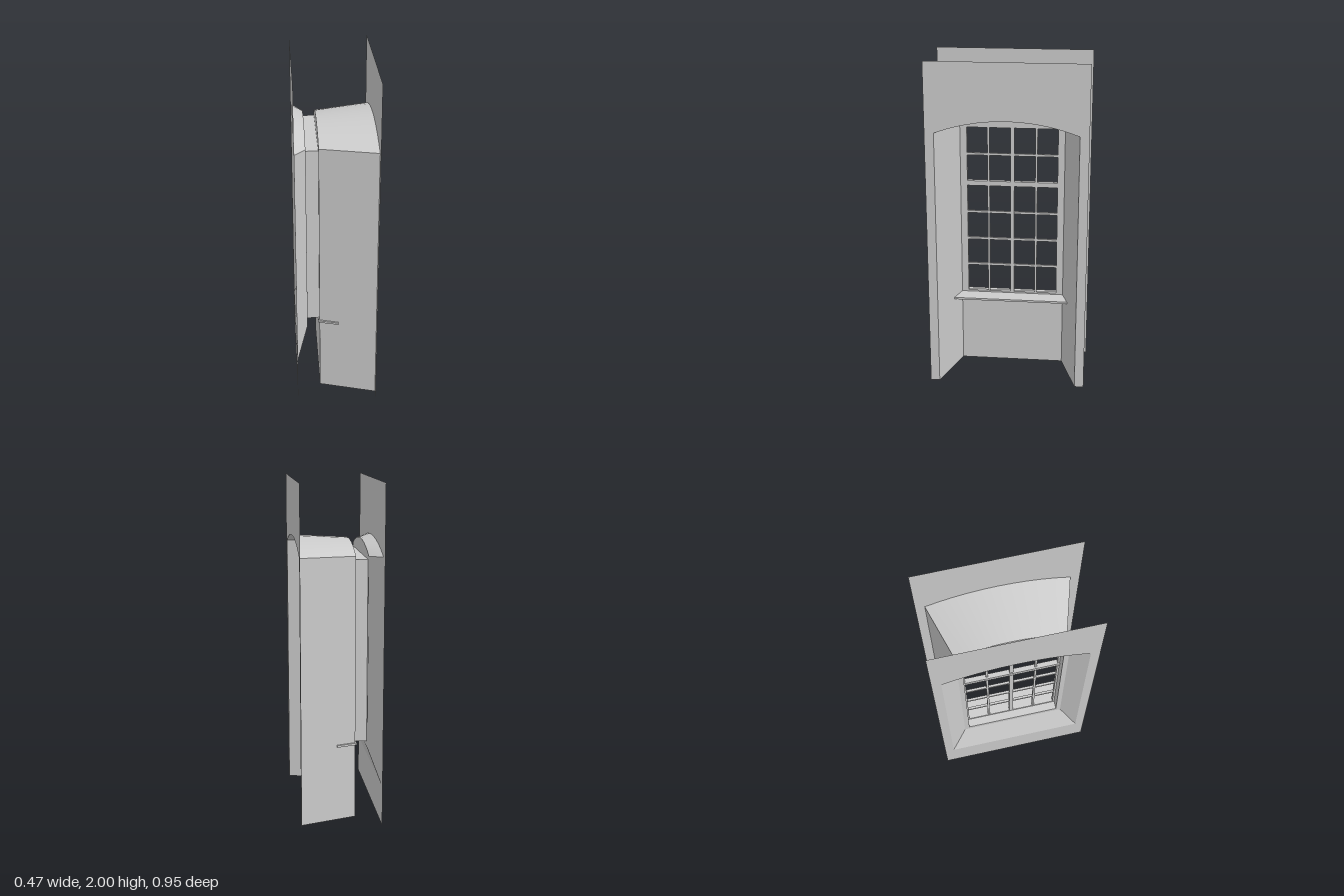
import * as THREE from 'three';
import { toCreasedNormals } from 'three/addons/utils/BufferGeometryUtils.js';

const mat = new THREE.MeshStandardMaterial({ color: 0xcccccc, side: THREE.DoubleSide });

// Arched outline in (z, y): up one jamb, over the segmental arch, down the other
function archOutline(halfW, bottom, spring, crown, segments = 10) {
  const h = crown - spring;
  const r = (halfW * halfW + h * h) / (2 * h);
  const a = Math.asin(halfW / r);
  const pts = [new THREE.Vector2(-halfW, bottom)];
  for (let i = 0; i <= segments; i++) {
    const t = -a + (2 * a * i) / segments;
    pts.push(new THREE.Vector2(r * Math.sin(t), crown - r + r * Math.cos(t)));
  }
  pts.push(new THREE.Vector2(halfW, bottom));
  return pts;
}

function rectOutline(halfW, y0, y1) {
  return [[-halfW, y0], [-halfW, y1], [halfW, y1], [halfW, y0]].map(p => new THREE.Vector2(...p));
}

// Flat sheet standing at a given x
function sheet(name, x, outline, hole) {
  const shape = new THREE.Shape(outline);
  if (hole) shape.holes.push(new THREE.Path(hole));
  const mesh = new THREE.Mesh(new THREE.ShapeGeometry(shape).rotateY(Math.PI / 2), mat);
  mesh.position.x = x;
  mesh.name = name;
  return mesh;
}

// Surface between two outlines at different x
function loft(name, xa, a, xb, b, closed) {
  const pos = [], idx = [], n = a.length;
  for (let i = 0; i < n; i++) pos.push(xa, a[i].y, -a[i].x, xb, b[i].y, -b[i].x);
  for (let i = 0; i < (closed ? n : n - 1); i++) {
    const p = 2 * i, q = 2 * ((i + 1) % n);
    idx.push(p, p + 1, q, q, p + 1, q + 1);
  }
  const geo = new THREE.BufferGeometry();
  geo.setAttribute('position', new THREE.Float32BufferAttribute(pos, 3));
  geo.setIndex(idx);
  const mesh = new THREE.Mesh(toCreasedNormals(geo, 0.4), mat);
  mesh.name = name;
  return mesh;
}

function bar(name, x, y, z, depth, height, width) {
  const mesh = new THREE.Mesh(new THREE.BoxGeometry(depth, height, width), mat);
  mesh.position.set(x, y, z);
  mesh.name = name;
  return mesh;
}

export function createModel() {
  const group = new THREE.Group();
  group.name = 'windowNiche';
  const X = 0.237, xOut = -0.17, xIn = -0.097, W = 0.475;
  const y0 = 0.465, y1 = 1.555, half = 0.29;

  // Room side: wall with a niche reaching the floor
  const roomWide = archOutline(0.42, 0, 1.585, 1.662);
  const roomNarrow = archOutline(0.32, 0, 1.578, 1.645);
  const wallOutline = [
    new THREE.Vector2(-W, 0), new THREE.Vector2(-W, 2), new THREE.Vector2(W, 2),
    new THREE.Vector2(W, 0), ...roomWide.slice().reverse(),
  ];
  group.add(sheet('innerWall', X, wallOutline));
  group.add(loft('innerReveal', X, roomWide, xIn, roomNarrow, false));
  group.add(sheet('nicheBack', xIn, roomNarrow, rectOutline(half, y0, y1)));

  // Outside: wall with a splayed opening and sloping bottom
  const outWide = archOutline(0.42, 0.24, 1.585, 1.662);
  const outNarrow = archOutline(0.32, 0.43, 1.576, 1.643);
  group.add(sheet('outerWall', -X, rectOutline(W, 0, 2), outWide));
  group.add(loft('outerReveal', -X, outWide, xOut, outNarrow, true));
  group.add(sheet('outerSurround', xOut, outNarrow, rectOutline(half, y0, y1)));

  // Lining of the rectangular opening
  const rect = rectOutline(half, y0, y1);
  group.add(loft('windowLining', xOut, rect, xIn, rect, true));

  // Window: frame, mullion, transom and glazing bars
  const win = new THREE.Group();
  win.name = 'window';
  const x = -0.108, mid = (y0 + y1) / 2, h = y1 - y0;
  for (const s of [-1, 1]) {
    win.add(bar('frameStile', x, mid, s * 0.284, 0.022, h, 0.012));
    win.add(bar('frameRail', x, mid + s * (h / 2 - 0.006), 0, 0.022, 0.012, 2 * half));
    win.add(bar('uprightGlazingBar', x, mid, s * 0.147, 0.015, h, 0.013));
  }
  win.add(bar('mullion', x, mid, 0, 0.022, h, 0.024));
  win.add(bar('transom', x - 0.003, 1.19, 0, 0.03, 0.03, 2 * half));
  for (const y of [0.655, 0.828, 1.003, 1.375]) {
    win.add(bar('crossGlazingBar', x, y, 0, 0.015, 0.014, 2 * half));
  }
  group.add(win);

  // Window sill: thin board widening towards the room
  const board = new THREE.Shape([[-0.105, 0.33], [0.015, 0.365], [0.015, -0.365], [-0.105, -0.33]]
    .map(p => new THREE.Vector2(...p)));
  const sill = new THREE.Mesh(
    new THREE.ExtrudeGeometry(board, { depth: 0.012, bevelEnabled: false }).rotateX(-Math.PI / 2), mat);
  sill.position.y = 0.455;
  sill.name = 'windowSill';
  group.add(sill);

  return group;
}
